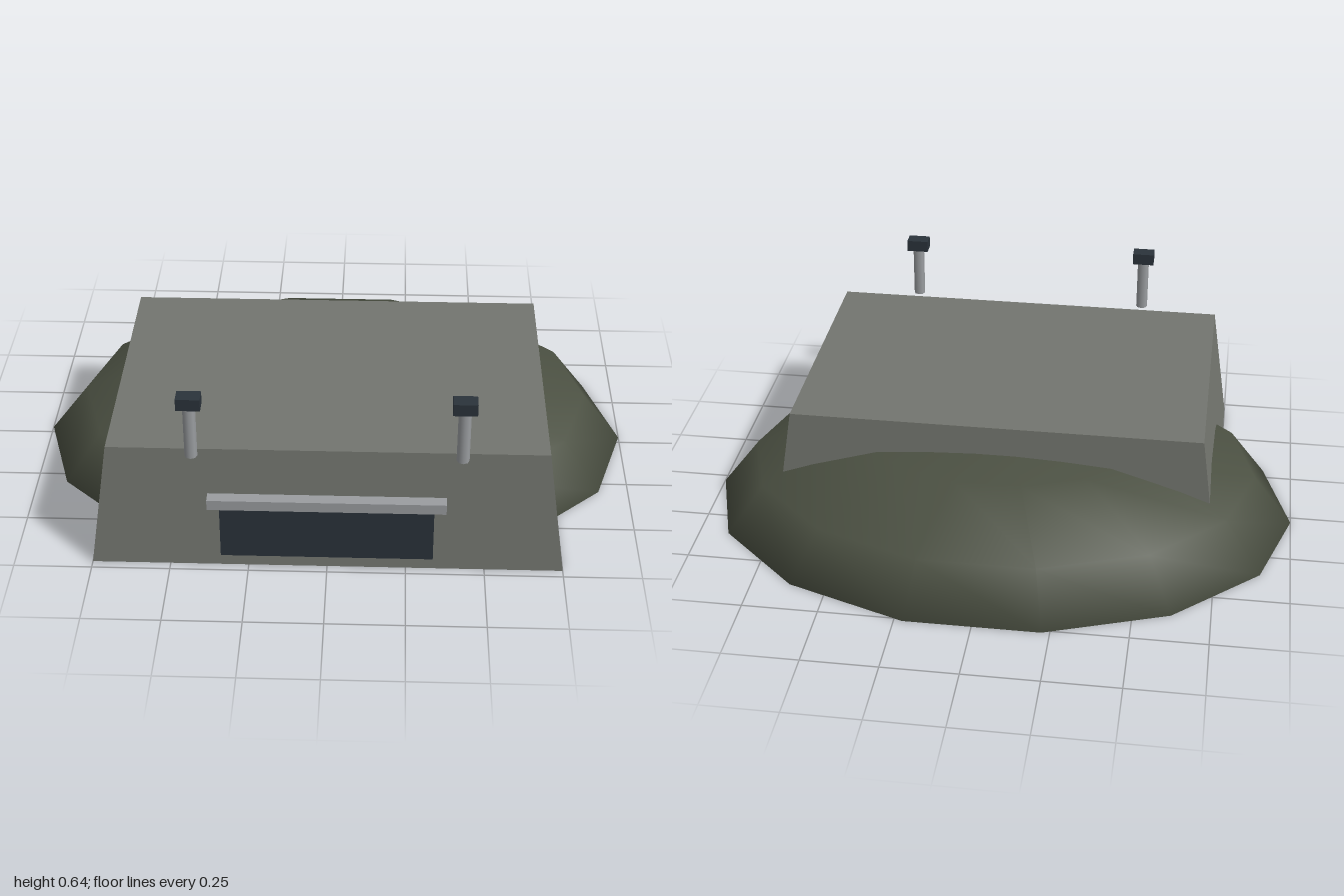
import * as THREE from 'three';

const material = (name, color, extra = {}) => {
  const m = new THREE.MeshStandardMaterial({ color, ...extra });
  m.name = name;
  return m;
};

export function createModel() {
  const concrete = material('concrete grey', 0x73756f, { flatShading: true });
  const earth = material('earth green', 0x4b5042, { side: THREE.DoubleSide });
  const steel = material('light steel', 0x9a9da0);
  const dark = material('dark slate', 0x2b333b);

  const model = new THREE.Group();
  model.name = 'bunker';

  const add = (name, geometry, mat, x, y, z) => {
    const mesh = new THREE.Mesh(geometry, mat);
    mesh.name = name;
    mesh.position.set(x, y, z);
    model.add(mesh);
    return mesh;
  };
  const box = (name, w, h, d, mat, x, y, z) =>
    add(name, new THREE.BoxGeometry(w, h, d), mat, x, y, z);

  // Open low-poly earth mound behind the bunker
  const dome = new THREE.SphereGeometry(1, 14, 3, 0, Math.PI * 2, 0, Math.PI / 2);
  dome.scale(1, 0.35, 0.75);
  add('earthMound', dome, earth, 0, 0, -0.03);

  // Concrete body: a box whose top is drawn in on all sides
  const body = new THREE.BoxGeometry(1.5, 0.42, 0.996);
  const p = body.attributes.position;
  for (let i = 0; i < p.count; i++) {
    if (p.getY(i) > 0) {
      p.setX(i, p.getX(i) * 0.92);
      p.setZ(i, p.getZ(i) * 0.92);
    }
  }
  body.computeVertexNormals();
  add('concreteBody', body, concrete, 0, 0.21, 0.222);

  // Front opening and the ledge above it
  box('frontOpening', 0.67, 0.18, 0.035, dark, 0, 0.15, 0.733);
  box('ledge', 0.745, 0.035, 0.04, steel, 0, 0.262, 0.74);

  // Pair of posts with dark heads
  for (const side of [-1, 1]) {
    add('post', new THREE.CylinderGeometry(0.02, 0.02, 0.18, 8), steel, side * 0.418, 0.51, 0.715);
    box('postHead', 0.075, 0.04, 0.05, dark, side * 0.418, 0.62, 0.715);
  }

  return model;
}
